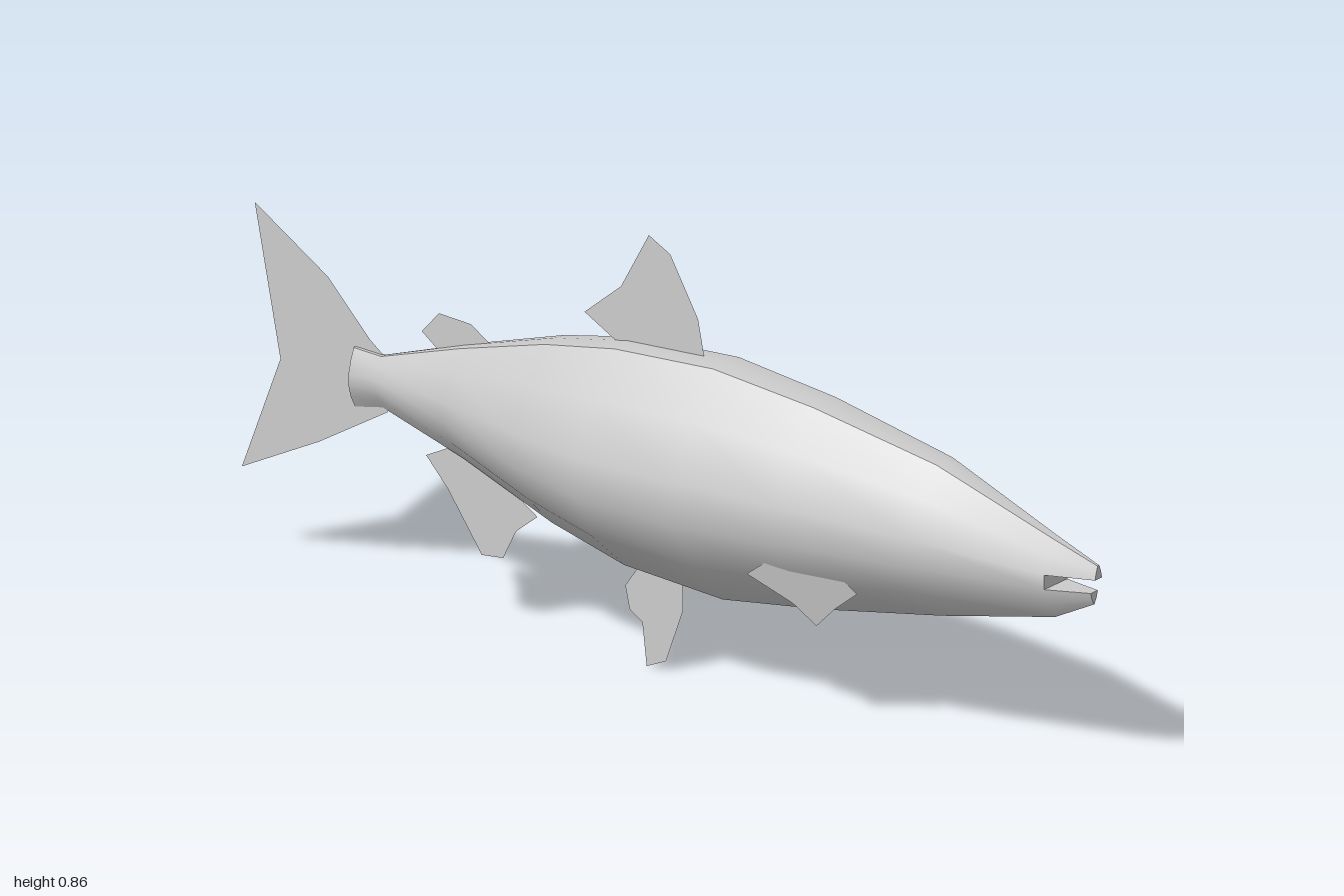
import * as THREE from 'three';
import { mergeGeometries, toCreasedNormals } from 'three/addons/utils/BufferGeometryUtils.js';

// Half profiles, top to bottom: [fraction of half width, fraction of height]
const BODY = [[0, 1], [0.24, 0.99], [0.67, 0.81], [1, 0.585], [1, 0.405], [0.67, 0.2], [0.06, 0]];
const UPPER_JAW = [[0, 1], [0.24, 0.976], [0.67, 0.542], [1, 0]];
const LOWER_JAW = [[1, 1], [0.67, 0.494], [0.06, 0]];

// Body stations, tail to head: x, top, bottom, half width
const STATIONS = [
  [-0.735, 0.485, 0.365, 0.022],
  [-0.67, 0.482, 0.378, 0.025],
  [-0.48, 0.545, 0.32, 0.068],
  [-0.27, 0.607, 0.24, 0.13],
  [-0.1, 0.64, 0.195, 0.167],
  [0.13, 0.652, 0.178, 0.165],
  [0.36, 0.625, 0.21, 0.146],
  [0.64, 0.57, 0.26, 0.106],
  [0.9, 0.475, 0.315, 0.036],
];

// Closed cross-section, mirrored across z = 0
function section([x, top, bottom, halfWidth], profile) {
  const half = profile.map(([w, h]) => [x, bottom + (top - bottom) * h, w * halfWidth]);
  const mirrored = half.filter((p) => p[2] > 0).reverse().map(([px, y, z]) => [px, y, -z]);
  return [...half, ...mirrored];
}

// Skin a run of stations and cap both ends
function loft(stations, profile) {
  const rings = stations.map((s) => section(s, profile));
  const n = rings[0].length, last = (rings.length - 1) * n;
  const index = [];
  for (let i = 0; i < rings.length - 1; i++) {
    for (let j = 0; j < n; j++) {
      const a = i * n + j, d = i * n + (j + 1) % n;
      index.push(a, d, d + n, a, d + n, a + n);
    }
  }
  for (let j = 1; j < n - 1; j++) {
    index.push(0, j + 1, j, last, last + j, last + j + 1);
  }
  const geometry = new THREE.BufferGeometry();
  geometry.setAttribute('position', new THREE.Float32BufferAttribute(rings.flat(2), 3));
  geometry.setIndex(index);
  return geometry;
}

// Flat fin outlines in the x-y plane
const FINS = {
  tailFin: [[-0.97, 0.72], [-0.8, 0.61], [-0.7, 0.505], [-0.66, 0.475], [-0.66, 0.37],
    [-0.82, 0.275], [-1, 0.185], [-0.91, 0.42]],
  dorsalFin: [[-0.2, 0.675], [-0.115, 0.745], [-0.05, 0.862], [0, 0.835], [0.065, 0.72],
    [0.08, 0.645], [-0.12, 0.63]],
  adiposeFin: [[-0.58, 0.55], [-0.54, 0.595], [-0.465, 0.59], [-0.42, 0.56], [-0.48, 0.53], [-0.54, 0.52]],
  analFin: [[-0.57, 0.305], [-0.52, 0.25], [-0.44, 0.135], [-0.39, 0.14], [-0.36, 0.2],
    [-0.31, 0.24], [-0.4, 0.3], [-0.5, 0.34]],
  pelvicFin: [[-0.07, 0.2], [-0.105, 0.15], [-0.095, 0.105], [-0.065, 0.085], [-0.055, 0],
    [-0.01, 0.02], [0.03, 0.13], [0.03, 0.2]],
};
const PECTORAL = [[0.27, 0.295], [0.31, 0.325], [0.45, 0.34], [0.5, 0.295], [0.45, 0.255],
  [0.405, 0.21], [0.36, 0.25]];

const finGeometry = (outline) =>
  new THREE.ShapeGeometry(new THREE.Shape(outline.map(([x, y]) => new THREE.Vector2(x, y))));

export function createModel() {
  const fish = new THREE.Group();
  fish.name = 'fish';
  const skin = new THREE.MeshStandardMaterial({ color: 0xcccccc });
  const finMaterial = new THREE.MeshStandardMaterial({ color: 0xcccccc, side: THREE.DoubleSide });
  const add = (name, geometry, material) => {
    const mesh = new THREE.Mesh(geometry, material);
    mesh.name = name;
    fish.add(mesh);
  };

  // Body with an open mouth between the two jaws
  const parts = [
    loft(STATIONS, BODY),
    loft([[0.9, 0.475, 0.4086, 0.036], [1, 0.44, 0.413, 0.011]], UPPER_JAW),
    loft([[0.9, 0.3798, 0.315, 0.036], [0.99, 0.385, 0.36, 0.011]], LOWER_JAW),
  ];
  add('body', toCreasedNormals(mergeGeometries(parts), 0.62), skin);

  // Fins on the centre line
  for (const [name, outline] of Object.entries(FINS)) add(name, finGeometry(outline), finMaterial);

  // Paired pectoral fins, slanted along the flanks
  for (const [name, side] of [['frontPectoralFin', 1], ['backPectoralFin', -1]]) {
    const geometry = finGeometry(PECTORAL);
    const p = geometry.attributes.position;
    for (let i = 0; i < p.count; i++) {
      p.setZ(i, side * (0.122 - 0.16 * (p.getX(i) - 0.27) + 0.18 * (p.getY(i) - 0.295)));
    }
    geometry.computeVertexNormals();
    add(name, geometry, finMaterial);
  }
  return fish;
}
